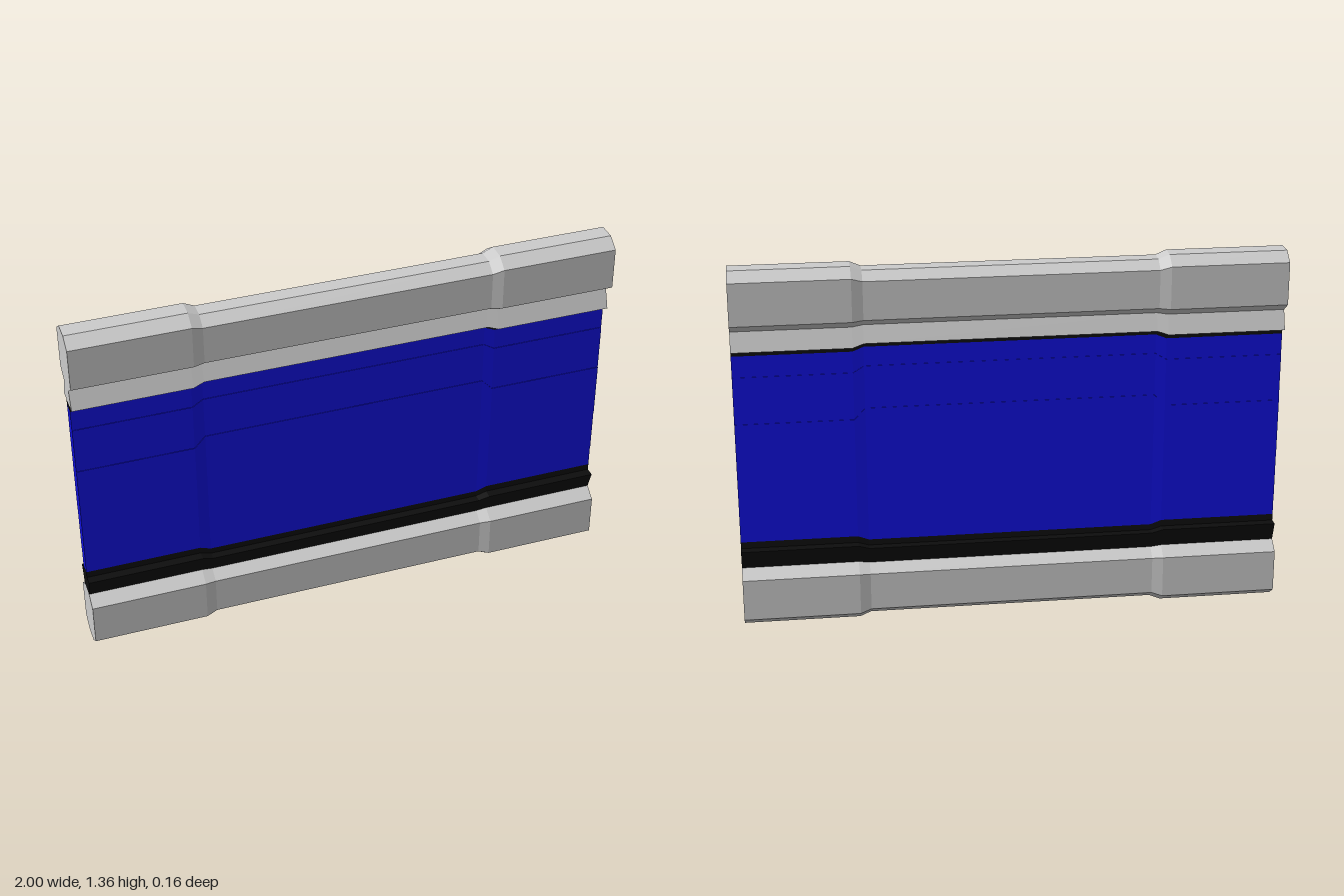
import * as THREE from 'three';

// Stations along the length, with the section scale at each one
const STATIONS = [[-1, 1], [-0.57, 1], [-0.53, 0.9], [0.53, 0.9], [0.57, 1], [1, 1]];
const LOW = 0.16, HIGH = 1.2; // heights the lower and upper sections shrink towards

const grey = new THREE.MeshStandardMaterial({ color: 0xcccccc, flatShading: true });
const black = new THREE.MeshStandardMaterial({ color: 0x0d0d0d, flatShading: true });
const blue = new THREE.MeshStandardMaterial({ color: 0x1010dd, flatShading: true });

// Runs a symmetric section, given as [half width, y] from bottom to top, along x
function bar(name, half, material) {
  const outline = [...half, ...half.map(([w, y]) => [-w, y]).reverse()];
  const shape = new THREE.Shape(outline.map(([w, y]) => new THREE.Vector2(w, y)));
  const steps = STATIONS.length - 1;
  const geometry = new THREE.ExtrudeGeometry(shape, { depth: steps, steps, bevelEnabled: false });
  const p = geometry.attributes.position;
  for (let i = 0; i < p.count; i++) {
    const [x, s] = STATIONS[Math.round(p.getZ(i))];
    const y = p.getY(i);
    const centre = y < 0.68 ? LOW : HIGH;
    p.setXYZ(i, x, centre + (y - centre) * s, -p.getX(i) * s);
  }
  geometry.computeVertexNormals();
  const mesh = new THREE.Mesh(geometry, material);
  mesh.name = name;
  return mesh;
}

export function createModel() {
  const model = new THREE.Group();
  model.name = 'barrierPanel';

  // Eight-sided lower rail and its flared black seat
  model.add(bar('bottomRail', [[0.033, 0], [0.08, 0.034], [0.08, 0.192], [0.033, 0.225]], grey));
  model.add(bar('bottomTrim', [[0.033, 0.225], [0.058, 0.298], [0.023, 0.298], [0.023, 0.323]], black));

  // Slightly swollen sheet between the rails
  model.add(bar('panel', [
    [0.023, 0.323], [0.023, 0.4], [0.025, 0.4], [0.025, 0.58], [0.027, 0.58],
    [0.027, 0.785], [0.025, 0.785], [0.025, 0.963], [0.023, 0.963], [0.023, 1.043],
  ], blue));

  // Black seal and upper rail with a flared foot
  model.add(bar('topTrim', [[0.023, 1.043], [0.023, 1.067]], black));
  model.add(bar('topRail', [
    [0.058, 1.067], [0.033, 1.138], [0.08, 1.17], [0.08, 1.328], [0.033, 1.361],
  ], grey));

  return model;
}
